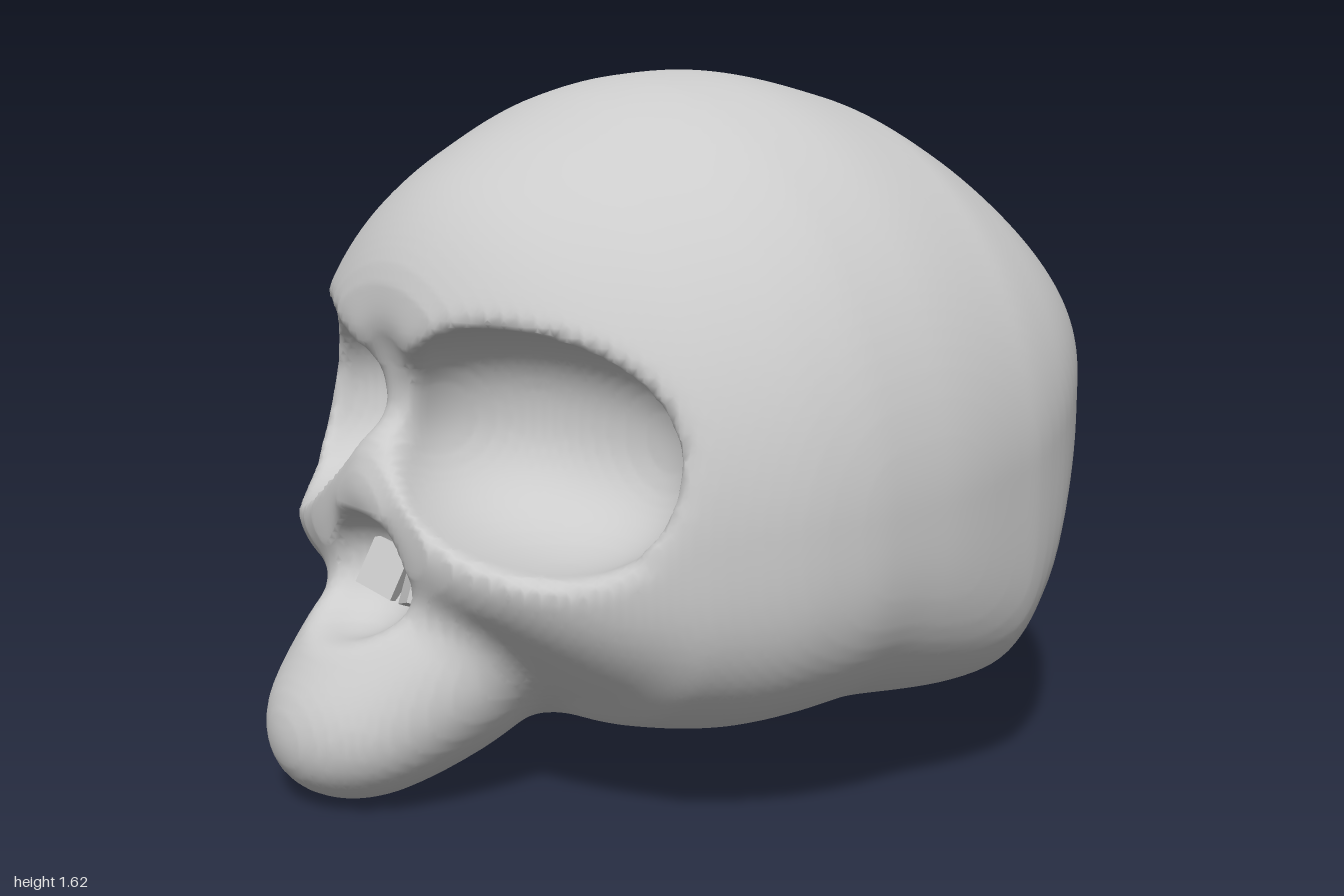
import * as THREE from 'three';

// Cranium cross-sections along z: [z, half width, top, widest height, bottom]
const SECTIONS = [
  [-1.0, 0.17, 1.05, 1.0, 0.95], [-0.985, 0.3, 1.08, 0.99, 0.92], [-0.95, 0.41, 1.125, 0.98, 0.87],
  [-0.85, 0.6, 1.25, 0.95, 0.73], [-0.7, 0.76, 1.4, 0.88, 0.52], [-0.55, 0.85, 1.505, 0.8, 0.28],
  [-0.4, 0.9, 1.57, 0.75, 0.18], [-0.1, 0.94, 1.617, 0.7, 0.155], [0.05, 0.937, 1.605, 0.69, 0.14],
  [0.2, 0.91, 1.57, 0.68, 0.13], [0.4, 0.82, 1.475, 0.65, 0.16], [0.5, 0.75, 1.415, 0.63, 0.24],
  [0.6, 0.65, 1.335, 0.62, 0.33], [0.7, 0.5, 1.2, 0.62, 0.42], [0.735, 0.42, 1.1, 0.62, 0.45],
  [0.77, 0.31, 0.8, 0.62, 0.49], [0.795, 0.1, 0.7, 0.62, 0.56],
];

// Smooth interpolation of one section column, without overshoot
function sectionValue(z, col) {
  const last = SECTIONS.length - 1;
  let i = 0;
  while (i < last - 1 && z > SECTIONS[i + 1][0]) i++;
  const slope = (j) => (SECTIONS[j + 1][col] - SECTIONS[j][col]) / (SECTIONS[j + 1][0] - SECTIONS[j][0]);
  const tangent = (j) => {
    if (j === 0) return slope(0);
    if (j === last) return slope(last - 1);
    const a = slope(j - 1), b = slope(j);
    return a * b > 0 ? (2 * a * b) / (a + b) : 0;
  };
  const d = SECTIONS[i + 1][0] - SECTIONS[i][0];
  const t = (z - SECTIONS[i][0]) / d, t2 = t * t, t3 = t2 * t;
  return SECTIONS[i][col] * (2 * t3 - 3 * t2 + 1) + tangent(i) * d * (t3 - 2 * t2 + t)
    + SECTIONS[i + 1][col] * (3 * t2 - 2 * t3) + tangent(i + 1) * d * (t3 - t2);
}

// Signed field of the cranium for one z slice: round above, boxier below and behind
function craniumSlice(z) {
  if (z < -1 || z > 0.795) return () => 0.3;
  const [w, top, mid, bottom] = [1, 2, 3, 4].map((c) => sectionValue(z, c));
  const lowerPower = 3 + 2 * THREE.MathUtils.smoothstep(-z, 0, 0.5);
  return (x, y) => {
    const h = y > mid ? top - mid : mid - bottom;
    const p = y > mid ? 1.97 : lowerPower;
    const r = ((x / w) ** p + (Math.abs(y - mid) / h) ** p) ** (1 / p);
    return Math.min((r - 1) * Math.min(w, h), 0.3);
  };
}

// Signed field of a turned ellipsoid; a power above 2 makes it boxier
const point = new THREE.Vector3();
function ellipsoid(center, radii, turn = [0, 0, 0], power = 2) {
  const inverse = new THREE.Matrix4().compose(
    new THREE.Vector3(...center),
    new THREE.Quaternion().setFromEuler(new THREE.Euler(...turn)),
    new THREE.Vector3(...radii),
  ).invert();
  const size = Math.min(...radii);
  return (x, y, z) => {
    const q = point.set(x, y, z).applyMatrix4(inverse);
    const r = (Math.abs(q.x) ** power + Math.abs(q.y) ** power + Math.abs(q.z) ** power) ** (1 / power);
    return (r - 1) * size;
  };
}

// Soft union and soft cut
function join(a, b, k) {
  const h = Math.max(k - Math.abs(a - b), 0) / k;
  return Math.min(a, b) - (h * h * k) / 4;
}
const carve = (a, b, k) => -join(-a, b, k);

const snout = ellipsoid([0, 0.225, 0.725], [0.275, 0.2, 0.3], [0.52, 0, 0]);
const upperJaw = ellipsoid([0, 0.34, 0.57], [0.3, 0.23, 0.25]);
const nasalBone = ellipsoid([0, 0.69, 0.71], [0.1, 0.11, 0.085]);
const browDent = ellipsoid([0, 0.92, 1.0], [0.28, 0.3, 0.3]);
const eyeSocket = ellipsoid([0.41, 0.82, 0.61], [0.36, 0.245, 0.33], [0, 0.49, -0.17], 2.25);
const noseOpening = ellipsoid([0, 0.5, 0.82], [0.175, 0.14, 0.17]);
const neckHollow = ellipsoid([0, 0.44, -0.61], [0.68, 0.56, 0.5], [-0.576, 0, 0]);
const baseHollow = ellipsoid([0, 0.14, -0.25], [0.45, 0.42, 0.28]);

function skullField(cranium, sx, y, z) {
  const x = Math.abs(sx);
  let f = carve(cranium(x, y), browDent(x, y, z), 0.08);
  f = join(f, nasalBone(x, y, z), 0.08);
  f = join(f, upperJaw(x, y, z), 0.1);
  f = join(f, snout(x, y, z), 0.14);
  f = carve(f, eyeSocket(x, y, z), 0.05);
  f = carve(f, noseOpening(x, y, z), 0.05);
  return carve(f, join(neckHollow(x, y, z), baseHollow(x, y, z), 0.1), 0.06);
}

// Skin the field: one vertex per crossed cell, one quad per crossed grid edge
function skullGeometry(step) {
  const n = [2.0, 1.74, 2.12].map((s) => Math.round(s / step) + 1);
  const min = [-((n[0] - 1) * step) / 2, -0.06, -1.06];
  const stride = [1, n[0], n[0] * n[1]];
  const field = new Float32Array(n[0] * n[1] * n[2]);
  for (let k = 0, i = 0; k < n[2]; k++) {
    const z = min[2] + k * step, slice = craniumSlice(z);
    for (let j = 0; j < n[1]; j++) {
      for (let l = 0; l < n[0]; l++) field[i++] = skullField(slice, min[0] + l * step, min[1] + j * step, z);
    }
  }

  const positions = [], index = [];
  const cell = new Int32Array(field.length).fill(-1);
  for (let k = 0; k < n[2] - 1; k++) for (let j = 0; j < n[1] - 1; j++) for (let l = 0; l < n[0] - 1; l++) {
    const i = l + j * stride[1] + k * stride[2];
    const sum = [0, 0, 0];
    let count = 0;
    for (let c = 0; c < 8; c++) {
      const bits = [c & 1, (c >> 1) & 1, c >> 2];
      const o = i + bits[0] + bits[1] * stride[1] + bits[2] * stride[2];
      for (let a = 0; a < 3; a++) {
        if (bits[a]) continue;
        const v0 = field[o], v1 = field[o + stride[a]];
        if (v0 < 0 === v1 < 0) continue;
        for (let b = 0; b < 3; b++) sum[b] += bits[b];
        sum[a] += v0 / (v0 - v1);
        count++;
      }
    }
    if (!count) continue;
    cell[i] = positions.length / 3;
    [l, j, k].forEach((g, a) => positions.push(min[a] + (g + sum[a] / count) * step));
  }

  for (let i = stride[2]; i < field.length - stride[2]; i++) {
    for (let a = 0; a < 3; a++) {
      const inside = field[i] < 0;
      if (inside === field[i + stride[a]] < 0) continue;
      const b = stride[(a + 1) % 3], c = stride[(a + 2) % 3];
      const q = [i - b - c, i - c, i, i - b].map((m) => cell[m]);
      if (q.some((m) => m < 0)) continue;
      if (!inside) q.reverse();
      index.push(q[0], q[1], q[2], q[0], q[2], q[3]);
    }
  }
  const geometry = new THREE.BufferGeometry();
  geometry.setAttribute('position', new THREE.Float32BufferAttribute(positions, 3));
  geometry.setIndex(index);
  geometry.computeVertexNormals();
  return geometry;
}

export function createModel() {
  const group = new THREE.Group();
  group.name = 'skullModel';

  const skull = new THREE.Mesh(skullGeometry(0.018), new THREE.MeshStandardMaterial({ color: 0xcccccc }));
  skull.name = 'skull';
  group.add(skull);

  // Thin bone plates inside the nose opening
  const boneMaterial = new THREE.MeshStandardMaterial({ color: 0xcccccc, flatShading: true });
  for (const side of [-1, 1]) {
    const plate = new THREE.Mesh(new THREE.BoxGeometry(0.11, 0.12, 0.05), boneMaterial);
    plate.name = side > 0 ? 'leftNosePlate' : 'rightNosePlate';
    plate.position.set(side * 0.07, 0.48, 0.68);
    plate.rotation.set(-0.35, side * -0.4, side * 0.15);
    group.add(plate);
  }
  return group;
}
